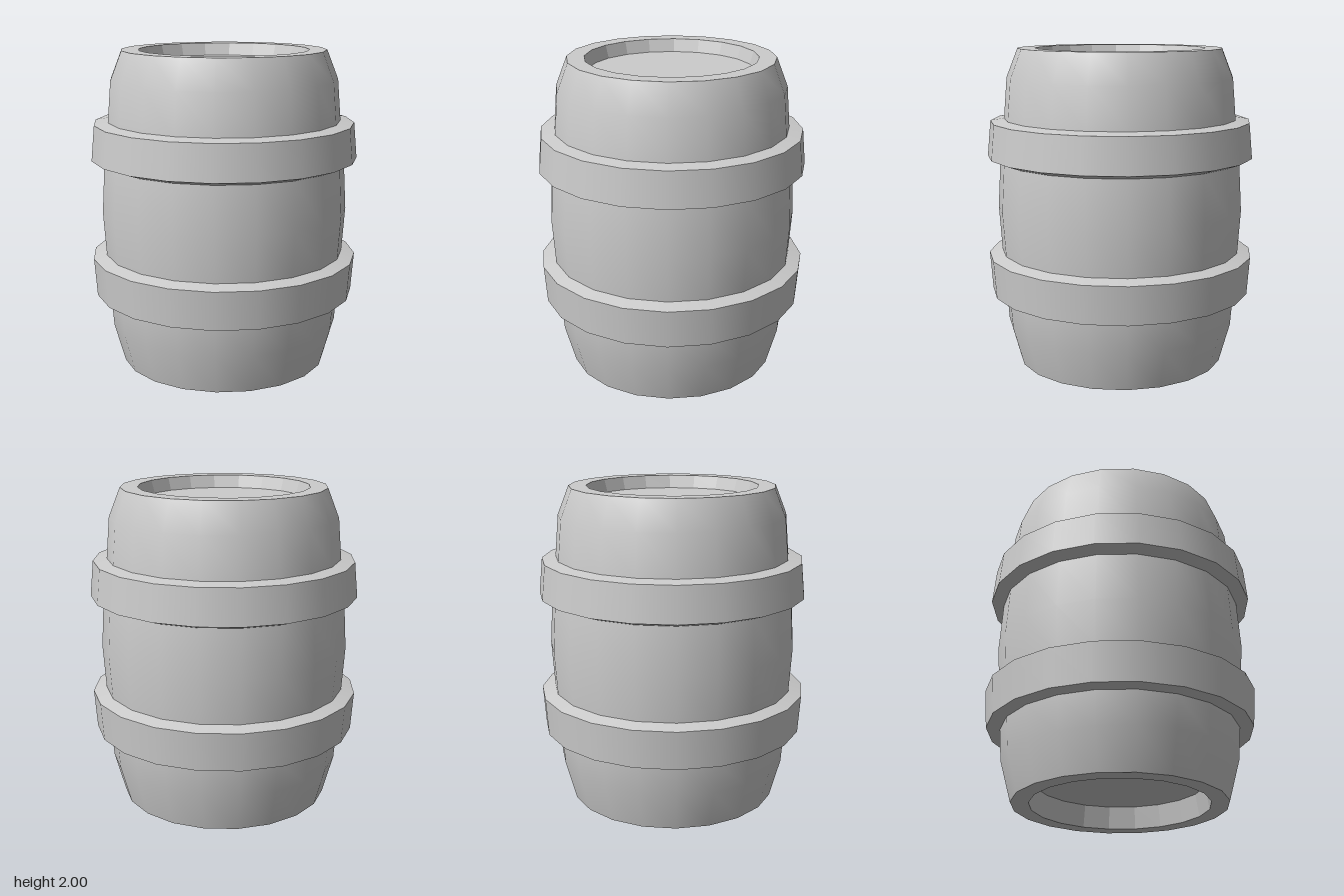
import * as THREE from 'three';

const SIDES = 20;
const smooth = new THREE.MeshStandardMaterial({ color: 0xcccccc });
const flat = new THREE.MeshStandardMaterial({ color: 0xcccccc, flatShading: true });

// Revolve one profile run of [radius, y]; listed upward it faces outward
function turn(name, profile, material = smooth) {
  const points = profile.map(([r, y]) => new THREE.Vector2(r, y));
  const geometry = new THREE.LatheGeometry(points, SIDES, Math.PI / SIDES);
  const mesh = new THREE.Mesh(geometry, material);
  mesh.name = name;
  return mesh;
}

// Sharp-edged hoop: bevelled ledges above and below a smooth outer face
function hoop(name, innerLow, outerLow, outerHigh, innerHigh) {
  const group = new THREE.Group();
  group.name = name;
  group.add(
    turn(name + 'Underside', [innerLow, outerLow]),
    turn(name + 'Face', [outerLow, outerHigh]),
    turn(name + 'Ledge', [outerHigh, innerHigh]),
  );
  return group;
}

export function createModel() {
  const model = new THREE.Group();
  model.name = 'barrel';

  // Bulging staves
  model.add(turn('staves', [
    [0.66, 0], [0.728, 0.25], [0.743, 0.45], [0.762, 0.72], [0.78, 1],
    [0.762, 1.3], [0.733, 1.56], [0.711, 1.82], [0.64, 2],
  ]));

  // Top rim and recessed lid
  model.add(
    turn('topRim', [[0.64, 2], [0.532, 2]]),
    turn('topRecessWall', [[0.532, 2], [0.508, 1.92]], flat),
    turn('lid', [[0.508, 1.92], [0, 1.92]]),
  );

  // Bottom rim and recessed base
  model.add(
    turn('base', [[0, 0.14], [0.525, 0.14]]),
    turn('bottomRecessWall', [[0.525, 0.14], [0.55, 0]], flat),
    turn('bottomRim', [[0.55, 0], [0.66, 0]]),
  );

  // Hoops
  model.add(
    hoop('lowerHoop', [0.74, 0.45], [0.828, 0.46], [0.845, 0.7], [0.755, 0.725]),
    hoop('upperHoop', [0.755, 1.3], [0.84, 1.33], [0.819, 1.55], [0.73, 1.565]),
  );
  return model;
}
